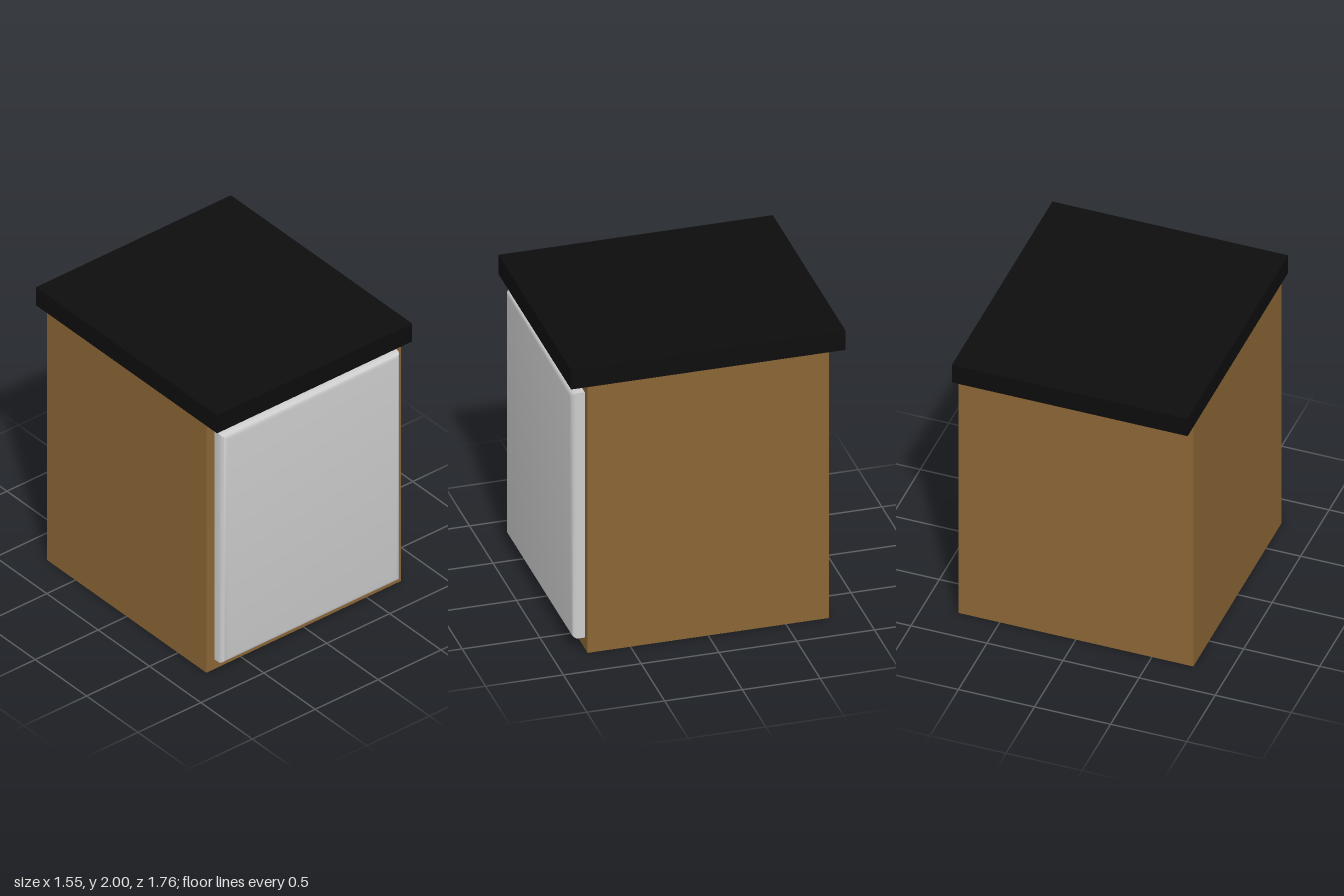
import * as THREE from 'three';
import { toCreasedNormals } from 'three/addons/utils/BufferGeometryUtils.js';

const material = (name, color) => {
  const m = new THREE.MeshStandardMaterial({ color });
  m.name = name;
  return m;
};

export function createModel() {
  const group = new THREE.Group();
  group.name = 'cabinet';
  const wood = material('brown wood', 0x8b6635);
  const black = material('black worktop', 0x0d0d0d);
  const grey = material('light grey door', 0xcccccc);

  const add = (name, geometry, mat, x, y, z) => {
    const mesh = new THREE.Mesh(geometry, mat);
    mesh.name = name;
    mesh.position.set(x, y, z);
    group.add(mesh);
  };

  // Carcass and overhanging worktop
  add('body', new THREE.BoxGeometry(1.545, 1.866, 1.55), wood, 0, 0.933, 0);
  add('worktop', new THREE.BoxGeometry(1.55, 0.135, 1.764), black, 0, 1.9325, 0);

  // Door panel: rounded edges with mitred corners, its back sunk into the body
  const w = 1.42, h = 1.72, r = 0.04, thickness = 0.14;
  const x = w / 2 - r, y = h / 2 - r;
  const outline = new THREE.Shape([
    new THREE.Vector2(-x, -y), new THREE.Vector2(x, -y),
    new THREE.Vector2(x, y), new THREE.Vector2(-x, y),
  ]);
  const panel = new THREE.ExtrudeGeometry(outline, {
    depth: thickness - 2 * r, bevelThickness: r, bevelSize: r, bevelSegments: 5,
  });
  add('door', toCreasedNormals(panel, 0.7), grey, 0, 0.935, 0.858 - thickness + r);

  return group;
}
